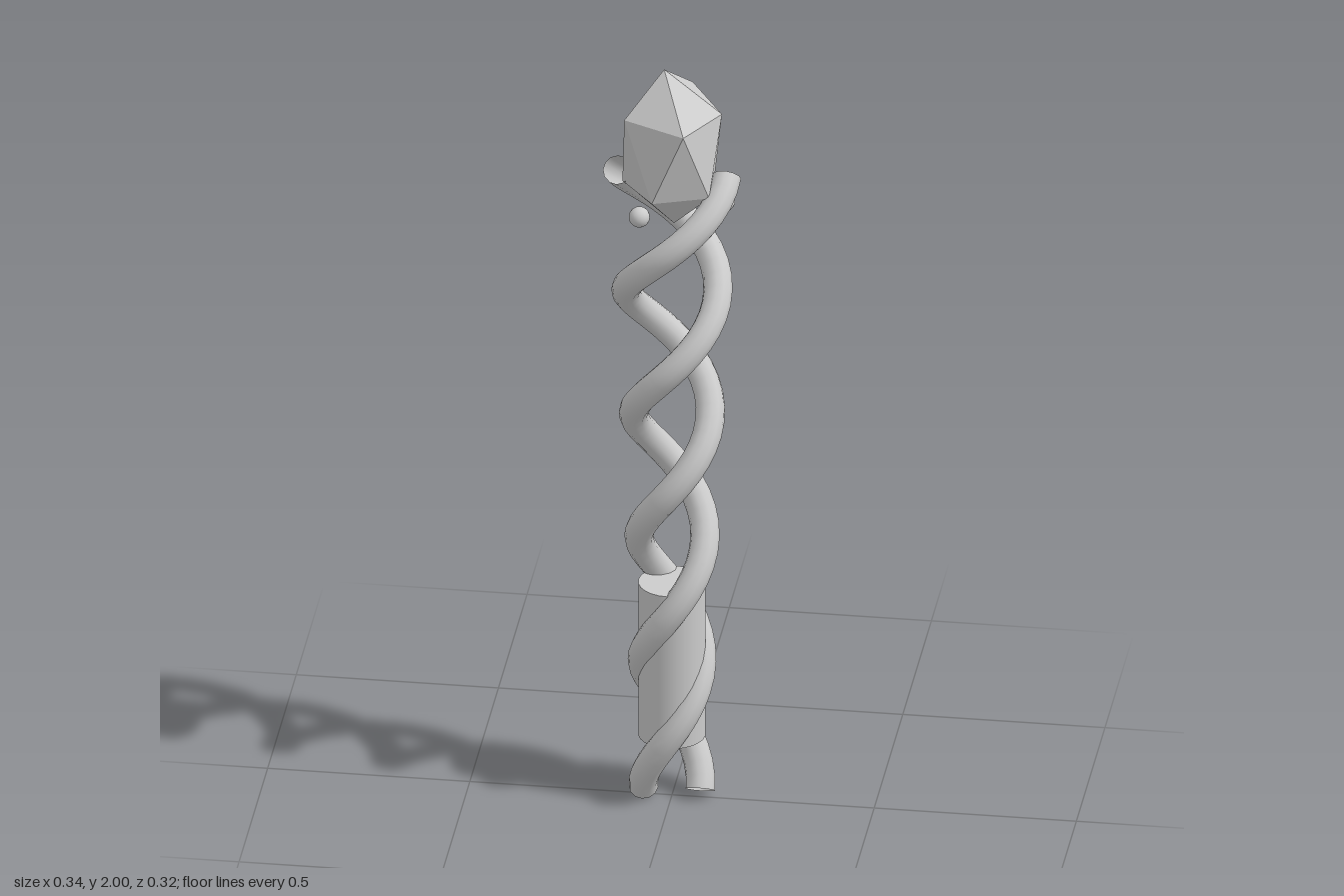
import * as THREE from 'three';
import { ConvexGeometry } from 'three/addons/geometries/ConvexGeometry.js';

// Rising helix that widens toward the top
class StrandCurve extends THREE.Curve {
  constructor(phase) {
    super();
    this.phase = phase;
  }
  getPoint(t, target = new THREE.Vector3()) {
    const a = t * Math.PI * 5 + this.phase;
    const r = 0.07 + 0.065 * t * t;
    return target.set(-r * Math.cos(a), 0.02 + 1.697 * t, r * Math.sin(a));
  }
}

export function createModel() {
  const group = new THREE.Group();
  const smooth = new THREE.MeshStandardMaterial({ color: 0xcccccc });
  const open = new THREE.MeshStandardMaterial({ color: 0xcccccc, side: THREE.DoubleSide });
  const faceted = new THREE.MeshStandardMaterial({ color: 0xcccccc, flatShading: true });

  const add = (name, geometry, material, x = 0, y = 0, z = 0) => {
    const mesh = new THREE.Mesh(geometry, material);
    mesh.name = name;
    mesh.position.set(x, y, z);
    group.add(mesh);
  };

  // Two intertwined shaft strands, open at the ends
  [0, Math.PI].forEach((phase, i) => {
    add(`shaftStrand${i + 1}`, new THREE.TubeGeometry(new StrandCurve(phase), 64, 0.036, 12), open);
  });

  // Grip core
  add('grip', new THREE.CylinderGeometry(0.083, 0.083, 0.42, 24), smooth, 0, 0.38, 0);

  // Crystal: a stretched, slightly tilted icosahedron
  const points = [new THREE.Vector3(-0.02, 2, -0.005), new THREE.Vector3(0.005, 1.58, 0)];
  [[0.121, 1.88, -0.018], [0.045, 1.88, 0.123], [-0.11, 1.885, 0.057],
    [-0.078, 1.895, -0.05], [0.034, 1.91, -0.121]].forEach((p) => points.push(new THREE.Vector3(...p)));
  for (let i = 0; i < 5; i++) {
    const a = (34 + 72 * i) * Math.PI / 180;
    points.push(new THREE.Vector3(0.122 * Math.cos(a), 1.69, 0.122 * Math.sin(a)));
  }
  add('crystal', new ConvexGeometry(points), faceted);

  // Beads around the crystal base
  for (let i = 0; i < 3; i++) {
    const a = i * Math.PI * 2 / 3;
    add(`bead${i + 1}`, new THREE.SphereGeometry(0.026, 16, 12), smooth,
      0.13 * Math.cos(a), 1.65, 0.13 * Math.sin(a));
  }
  return group;
}
